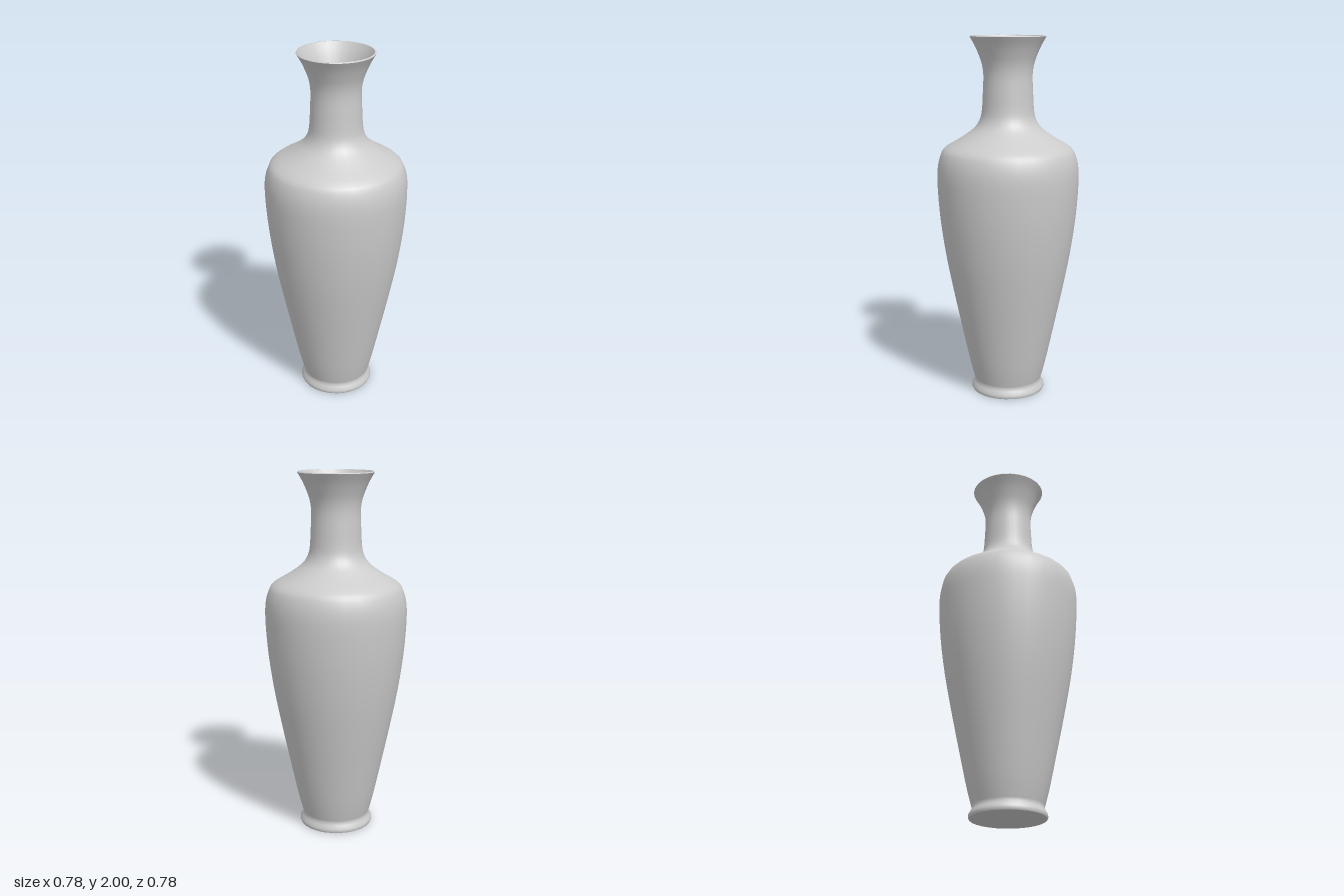
import * as THREE from 'three';

const SIDES = 28;
const WALL = 0.01;

// Outer silhouette above the foot, as [radius, height]
const BODY = [
  [0.188, 0.055], [0.203, 0.11], [0.225, 0.2], [0.268, 0.4], [0.31, 0.6], [0.348, 0.8],
  [0.376, 1.0], [0.389, 1.17], [0.389, 1.28], [0.373, 1.355], [0.343, 1.4], [0.26, 1.45],
  [0.19, 1.5], [0.157, 1.545], [0.143, 1.6], [0.137, 1.7], [0.134, 1.79],
  [0.142, 1.85], [0.159, 1.9], [0.181, 1.95], [0.207, 1.995],
];
const FOOT = [[0.203, 0], [0.207, 0.008], [0.206, 0.022], [0.195, 0.04]];

const toPoints = (list) => list.map(([r, y]) => new THREE.Vector2(r, y));

export function createModel() {
  const vase = new THREE.Group();
  vase.name = 'vase';
  const material = new THREE.MeshStandardMaterial({ color: 0xcccccc });

  // Half-step start puts a flat side on each axis
  const turn = (name, points) => {
    const mesh = new THREE.Mesh(new THREE.LatheGeometry(points, SIDES, Math.PI / SIDES), material);
    mesh.name = name;
    vase.add(mesh);
  };

  const curve = new THREE.SplineCurve(toPoints(BODY));
  const outer = curve.getPoints(60);

  // Inner wall: the silhouette moved inwards along its normal, from lip to floor
  const inner = outer.map((p, i) => {
    const t = curve.getTangent(i / 60);
    return new THREE.Vector2(p.x - t.y * WALL, p.y + t.x * WALL);
  }).reverse();
  const floorRadius = inner[inner.length - 1].x;
  const floorY = 0.03;
  inner.push(new THREE.Vector2(floorRadius, floorY));

  // Foot and outer wall in one smooth sweep
  turn('outerBody', [...toPoints(FOOT), ...outer]);
  // Thin lip joining both walls
  turn('lip', [outer[60], new THREE.Vector2(0.204, 2), inner[0]]);
  turn('innerWall', inner);
  turn('innerFloor', toPoints([[floorRadius, floorY], [0, floorY]]));
  turn('base', toPoints([[0, 0], [0.203, 0]]));

  return vase;
}
